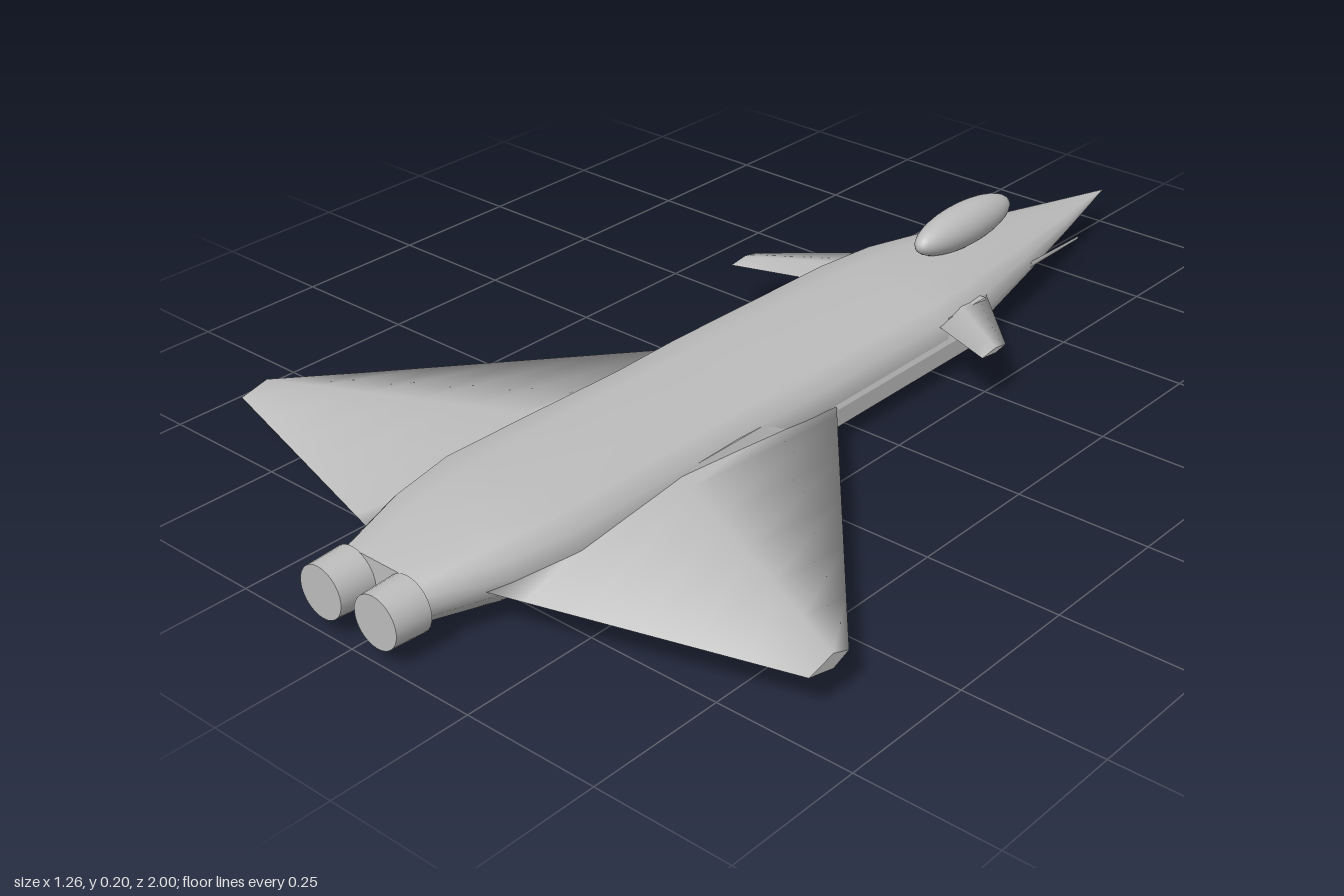
import * as THREE from 'three';

const grey = new THREE.MeshStandardMaterial({ color: 0xbcbcbc });
grey.name = 'airframe grey';

// Skins a run of equal-sized rings smoothly and closes both ends with flat caps
function loft(rings, flip = false) {
  const n = rings[0].length, pos = rings.flat(2), idx = [];
  const tri = (a, b, c) => (flip ? idx.push(a, c, b) : idx.push(a, b, c));
  for (let i = 0; i < rings.length - 1; i++) {
    for (let j = 0; j < n; j++) {
      const k = (j + 1) % n, a = i * n, b = a + n;
      tri(a + j, a + k, b + k);
      tri(a + j, b + k, b + j);
    }
  }
  let base = rings.length * n;
  for (const [ring, end] of [[rings[0], false], [rings.at(-1), true]]) {
    pos.push(...ring.flat());
    for (let j = 1; j < n - 1; j++) {
      if (end) tri(base, base + j, base + j + 1);
      else tri(base, base + j + 1, base + j);
    }
    base += n;
  }
  const geo = new THREE.BufferGeometry();
  geo.setAttribute('position', new THREE.Float32BufferAttribute(pos, 3));
  geo.setIndex(idx);
  geo.computeVertexNormals();
  return geo;
}

// Tapered diamond aerofoil; root and tip are [x, y, half thickness, lead z, ridge z, trail z]
function foil(side, root, tip) {
  const rings = [];
  for (let i = 0; i <= 6; i++) {
    const [x, y, half, lead, ridge, trail] = root.map((r, k) => THREE.MathUtils.lerp(r, tip[k], i / 6));
    rings.push([
      [side * x, y + half, ridge], [side * x, y, trail],
      [side * x, y - half, ridge], [side * x, y, lead],
    ]);
  }
  return loft(rings, side < 0);
}

export function createModel() {
  const jet = new THREE.Group();
  jet.name = 'deltaJet';
  const add = (name, geo, x = 0, y = 0, z = 0) => {
    const mesh = new THREE.Mesh(geo, grey);
    mesh.name = name;
    mesh.position.set(x, y, z);
    jet.add(mesh);
    return mesh;
  };

  // Fuselage: rounded section scaled along the body
  const half = [[0.38, -1], [0.76, -0.8], [0.95, -0.35], [1, 0.05], [0.93, 0.45], [0.78, 0.8], [0.4, 0.98]];
  const section = [...half, ...half.slice().reverse().map(([x, y]) => [-x, y])];
  const stations = [ // z, half width, bottom, top
    [-1, 0.001, 0.069, 0.071], [-0.8, 0.053, 0.051, 0.094], [-0.6, 0.103, 0.034, 0.118],
    [-0.38, 0.153, 0.012, 0.141], [-0.25, 0.166, 0.004, 0.146], [0.15, 0.167, 0.001, 0.151],
    [0.3, 0.159, 0.002, 0.153], [0.5, 0.164, 0.005, 0.154], [0.68, 0.167, 0.01, 0.154],
    [0.8, 0.143, 0.018, 0.146], [0.935, 0.1, 0.036, 0.122],
  ];
  add('fuselage', loft(stations.map(([z, w, lo, hi]) =>
    section.map(([x, y]) => [x * w, (lo + hi) / 2 + y * (hi - lo) / 2, z]))));

  // Canopy bubble
  add('canopy', new THREE.SphereGeometry(1, 32, 20), 0, 0.163, -0.515).scale.set(0.041, 0.041, 0.142);

  for (const side of [1, -1]) {
    const label = side > 0 ? 'left' : 'right';

    // Delta wing
    add(label + 'Wing', foil(side,
      [0.1, 0.076, 0.029, -0.01, 0.42, 0.85],
      [0.63, 0.076, 0.013, 0.61, 0.645, 0.7]));

    // Canard foreplane
    add(label + 'Canard', foil(side,
      [0.125, 0.102, 0.008, -0.415, -0.33, -0.25],
      [0.29, 0.11, 0.005, -0.25, -0.22, -0.18]));

    // Engine intake trunk along the lower flank
    const trunk = [[0.1, 0.012], [0.142, 0.012], [0.17, 0.037], [0.17, 0.07], [0.152, 0.108], [0.1, 0.108]];
    const shape = new THREE.Shape(trunk.map(([x, y]) => new THREE.Vector2(side * x, y)));
    add(label + 'Intake', new THREE.ExtrudeGeometry(shape, { depth: 0.83, bevelEnabled: false }), 0, 0, -0.38);

    // Exhaust nozzle
    const nozzle = new THREE.CylinderGeometry(0.046, 0.049, 0.066, 28);
    nozzle.rotateX(Math.PI / 2);
    add(label + 'Nozzle', nozzle, side * 0.061, 0.075, 0.967);

    // Slender flattened nose probe
    const probe = new THREE.CylinderGeometry(0.006, 0.003, 0.16, 8);
    probe.rotateX(Math.PI / 2);
    add(label + 'Probe', probe, side * 0.101, 0.078, -0.68).scale.x = 0.3;
  }
  return jet;
}
